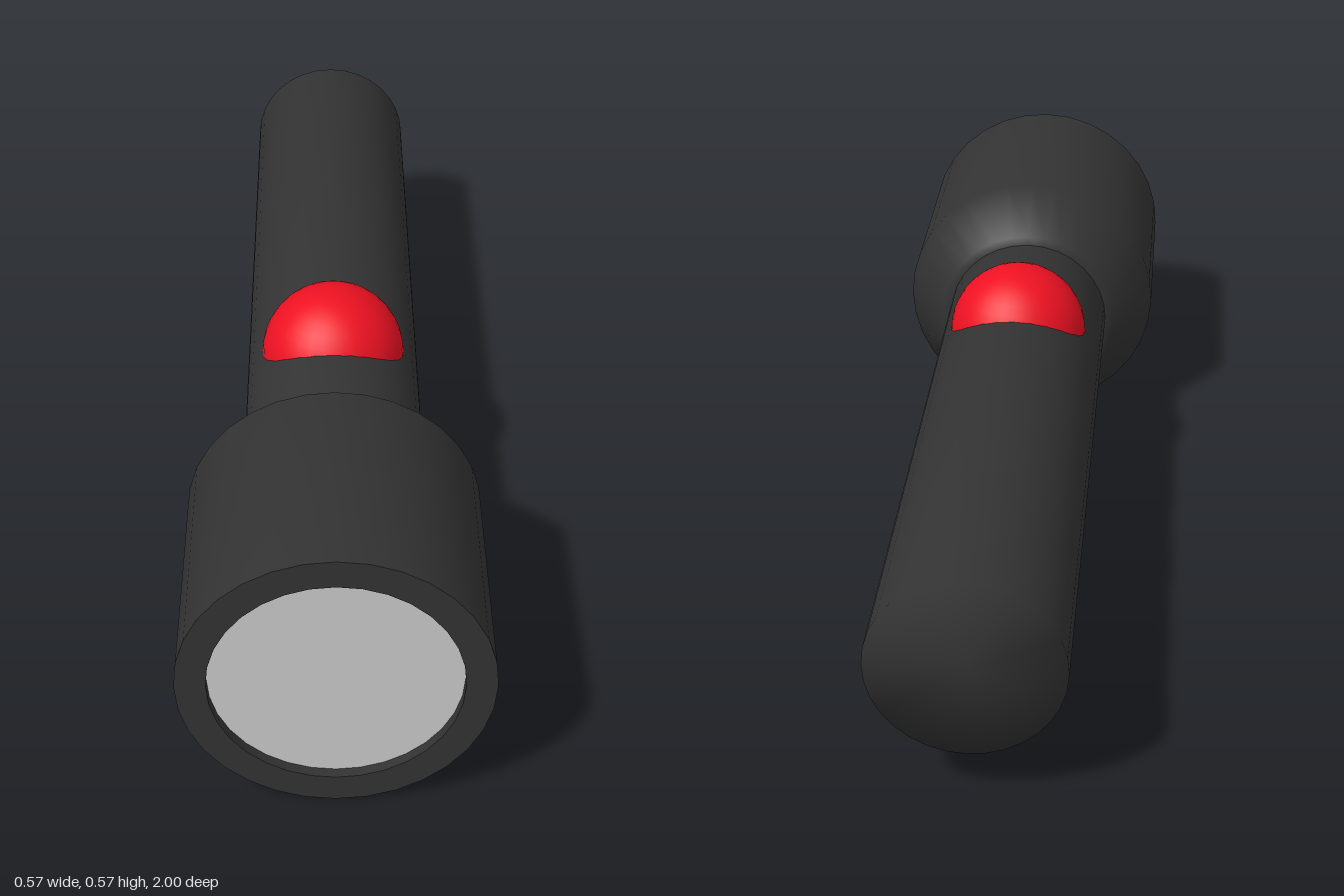
import * as THREE from 'three';

const SIDES = 32;
const AXIS_Y = 0.284;

const black = new THREE.MeshStandardMaterial({ color: 0x333333 });
const red = new THREE.MeshStandardMaterial({ color: 0xee1122 });
const grey = new THREE.MeshStandardMaterial({ color: 0xcccccc });

// Turns a [radius, z] profile around the long axis of the torch
function turned(name, profile) {
  const points = profile.map(([r, z]) => new THREE.Vector2(r, z));
  const geometry = new THREE.LatheGeometry(points, SIDES);
  geometry.rotateX(Math.PI / 2);
  const mesh = new THREE.Mesh(geometry, black);
  mesh.name = name;
  mesh.position.y = AXIS_Y;
  return mesh;
}

export function createModel() {
  const group = new THREE.Group();
  group.name = 'flashlight';

  // Handle with a softly shaded flat tail
  group.add(turned('handle', [[0, -1], [0.18, -1], [0.18, 0.42], [0, 0.42]]));

  // Head: back ring, flare, barrel, rim and inner wall; repeated points keep edges sharp
  group.add(turned('head', [
    [0.17, 0.41], [0.2, 0.41], [0.284, 0.52],
    [0.284, 1], [0.284, 1],
    [0.228, 1], [0.228, 1],
    [0.228, 0.975],
  ]));

  // Lens set just behind the rim
  const lens = new THREE.Mesh(new THREE.CircleGeometry(0.228, SIDES), grey);
  lens.name = 'lens';
  lens.position.set(0, AXIS_Y, 0.98);
  group.add(lens);

  // Domed switch sunk into the handle
  const button = new THREE.Mesh(new THREE.SphereGeometry(0.146, 32, 20), red);
  button.name = 'switchButton';
  button.position.set(0, 0.388, 0.127);
  group.add(button);

  return group;
}
